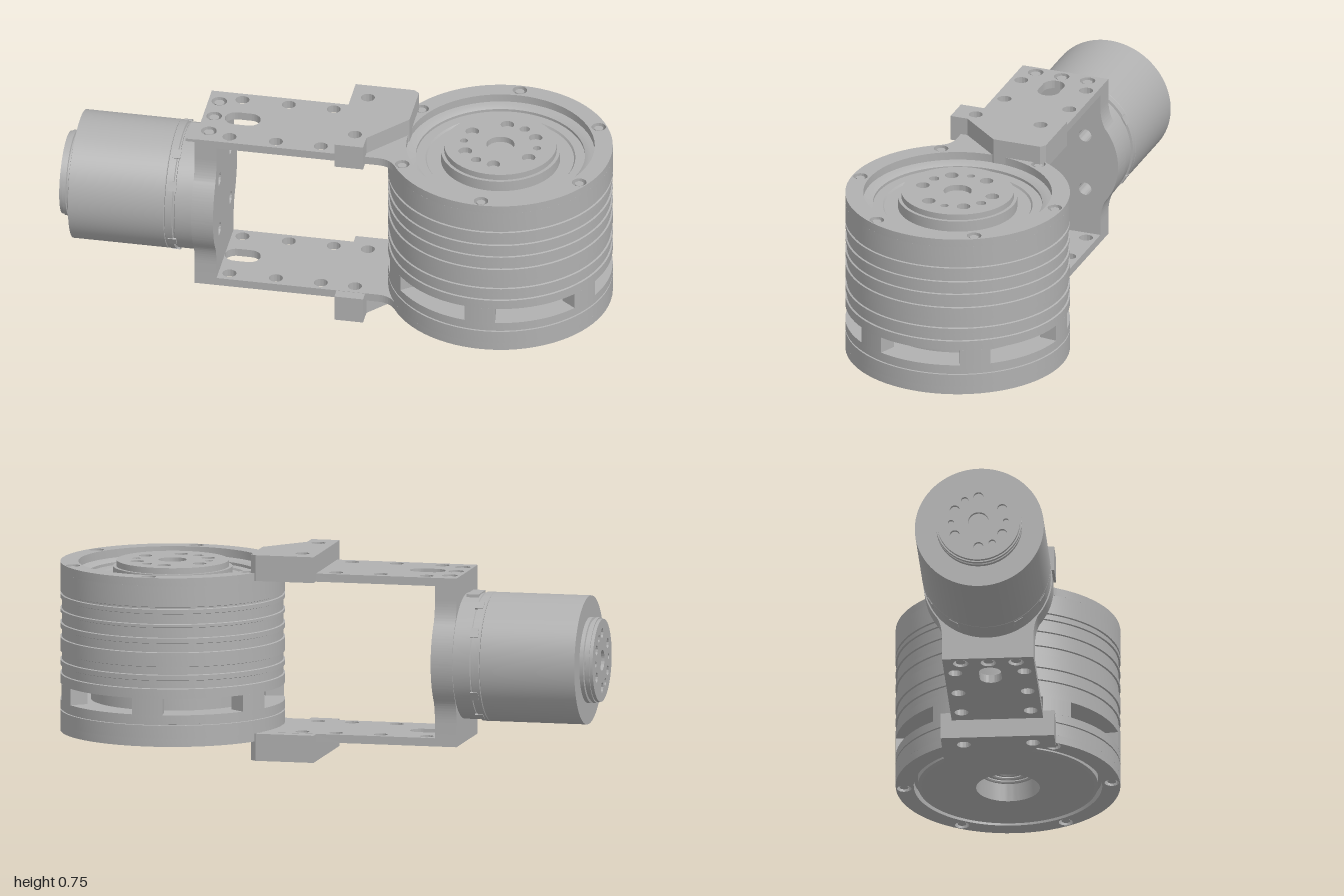
import * as THREE from 'three';
import { toCreasedNormals } from 'three/addons/utils/BufferGeometryUtils.js';

const CX = 0.59;      // axis of the large actuator
const MY = 0.38;      // axis height of the small motor
const metal = new THREE.MeshStandardMaterial({ color: 0xb0b0b0 });
metal.name = 'grey metal';

const V = (x, y) => new THREE.Vector2(x, y);
const rad = THREE.MathUtils.degToRad;

function part(name, geometry, parent) {
  const mesh = new THREE.Mesh(toCreasedNormals(geometry, 0.5), metal);
  mesh.name = name;
  parent.add(mesh);
  return mesh;
}
const lathe = (pts) => new THREE.LatheGeometry(pts.map((p) => V(p[0], p[1])), 96);

function circle(x, y, r, target = new THREE.Path()) {
  target.absarc(x, y, r, 0, Math.PI * 2, false);
  return target;
}
// evenly spaced round holes on a pitch circle
function ringHoles(shape, cx, cy, pitch, r, count, startDeg) {
  for (let i = 0; i < count; i++) {
    const a = rad(startDeg + (i * 360) / count);
    shape.holes.push(circle(cx + pitch * Math.cos(a), cy + pitch * Math.sin(a), r));
  }
}
const extrude = (shape, depth) =>
  new THREE.ExtrudeGeometry(shape, { depth, bevelEnabled: false, curveSegments: 32 });
// plan shape (x, -z) raised from y0 to y1
const slab = (shape, y0, y1) => extrude(shape, y1 - y0).rotateX(-Math.PI / 2).translate(0, y0, 0);
// cross shape (-z, y) pushed from x0 to x1
const wall = (shape, x0, x1) => extrude(shape, x1 - x0).rotateY(Math.PI / 2).translate(x0, 0, 0);

// round cap with centre bore, bolt circle and pin holes
function capShape(cx, cy, r) {
  const s = circle(cx, cy, r, new THREE.Shape());
  s.holes.push(circle(cx, cy, r * 0.25));
  ringHoles(s, cx, cy, r * 0.66, r * 0.12, 6, 30);
  ringHoles(s, cx, cy, r * 0.66, r * 0.07, 2, 0);
  ringHoles(s, cx, cy, r * 0.66, r * 0.09, 2, 60);
  return s;
}

// bracket arm ending in a ring round the actuator
function armShape() {
  const w = 0.165, R = 0.405, s = new THREE.Shape();
  s.moveTo(-0.5, -w);
  s.lineTo(0.17, -w);
  s.quadraticCurveTo(0.215, -w, CX + R * Math.cos(rad(210)), R * Math.sin(rad(210)));
  s.absarc(CX, 0, R, rad(210), rad(510), false);
  s.quadraticCurveTo(0.215, w, 0.17, w);
  s.lineTo(-0.5, w);
  s.closePath();
  s.holes.push(circle(CX, 0, 0.34));
  ringHoles(s, CX, 0, 0.375, 0.026, 6, 30);
  for (const y of [-0.125, 0.125])
    for (const x of [-0.38, -0.21, -0.045, 0.08]) s.holes.push(circle(x, y, 0.025));
  for (const y of [-0.1, 0, 0.1]) s.holes.push(circle(-0.46, y, 0.028));
  const slot = new THREE.Path();
  slot.absarc(-0.38, 0, 0.04, rad(90), rad(270), false);
  slot.absarc(-0.33, 0, 0.04, rad(-90), rad(90), false);
  slot.closePath();
  s.holes.push(slot);
  return s;
}

function stopBlockShape() {
  const s = new THREE.Shape([
    V(0.02, 0.205), V(0.02, -0.205), V(0.125, -0.205), V(0.125, -0.14),
    V(0.255, 0.01), V(0.255, 0.19), V(0.235, 0.205),
  ]);
  for (const y of [-0.125, 0.125]) s.holes.push(circle(0.08, y, 0.025));
  return s;
}

// round flange widening to the arm width above and below
function endPlateShape() {
  const w = 0.165, R = 0.233, a = rad(38), s = new THREE.Shape();
  const cx = R * Math.cos(a), cy = R * Math.sin(a);
  s.moveTo(-w, 0.1);
  s.lineTo(w, 0.1);
  s.lineTo(w, 0.15);
  s.quadraticCurveTo(w, 0.205, cx, MY - cy);
  s.absarc(0, MY, R, -a, a, false);
  s.quadraticCurveTo(w, 0.555, w, 0.605);
  s.lineTo(w, 0.655);
  s.lineTo(-w, 0.655);
  s.lineTo(-w, 0.605);
  s.quadraticCurveTo(-w, 0.555, -cx, MY + cy);
  s.absarc(0, MY, R, Math.PI - a, Math.PI + a, false);
  s.quadraticCurveTo(-w, 0.205, -w, 0.15);
  s.closePath();
  ringHoles(s, 0, MY, 0.15, 0.024, 4, 45);
  return s;
}

function buildActuator(parent) {
  const g = new THREE.Group();
  g.name = 'largeActuator';
  parent.add(g);

  // housing profile: bottom bore, window gap, cooling ribs, top recess
  const R = 0.405, r = 0.399;
  const profile = [
    [0, 0.16], [0.06, 0.155], [0.11, 0.13], [0.115, 0.062], [0.3, 0.062], [0.325, 0.072],
    [0.325, 0.1], [R, 0.1], [R, 0.147], [r, 0.148], [r, 0.152], [R, 0.153],
    [R, 0.185], [0.295, 0.185], [0.295, 0.245], [R, 0.245],
  ];
  const grooves = [[0.28, 0.312], [0.33, 0.362], [0.412, 0.447], [0.465, 0.505], [0.515, 0.555], [0.57, 0.58]];
  for (const [y0, y1] of grooves)
    profile.push([R, y0], [r, y0 + 0.002], [r, y1 - 0.002], [R, y1]);
  profile.push([R, 0.655], [0.325, 0.655], [0.305, 0.645], [0.305, 0.635], [0.27, 0.635], [0.265, 0.628], [0, 0.628]);
  part('housing', lathe(profile), g).position.x = CX;

  // posts between the side windows, with bolts above and below
  for (let i = 0; i < 6; i++) {
    const mid = 30 + i * 60, a0 = rad(mid - 8), a1 = rad(mid + 8);
    const s = new THREE.Shape();
    s.absarc(CX, 0, R, a0, a1, false);
    s.absarc(CX, 0, 0.338, a1, a0, true);
    s.closePath();
    part('windowPost', slab(s, 0.185, 0.245), g);
    for (const y of [0.085, 0.67]) {
      const bolt = part('ringBolt', new THREE.CylinderGeometry(0.016, 0.016, 0.02, 16), g);
      bolt.position.set(CX + 0.375 * Math.cos(rad(mid)), y, 0.375 * Math.sin(rad(mid)));
    }
  }

  // output hub
  part('outputHub', slab(circle(CX, 0, 0.215, new THREE.Shape()), 0.628, 0.668), g);
  part('outputHubCap', slab(capShape(CX, 0, 0.203), 0.668, 0.69), g);

  // rings of the vent in the bottom bore
  for (const rr of [0.04, 0.07, 0.1]) {
    const ring = part('ventRing', new THREE.TorusGeometry(rr, 0.006, 6, 40).rotateX(Math.PI / 2), g);
    ring.position.set(CX, 0.13, 0);
  }
}

function buildMotor(parent) {
  const g = new THREE.Group();
  g.name = 'smallMotor';
  parent.add(g);
  // profile runs from the bracket towards -x
  const body = lathe([
    [0, 0.5], [0.228, 0.5], [0.228, 0.563], [0.224, 0.565], [0.224, 0.57], [0.233, 0.572],
    [0.233, 0.598], [0.23, 0.6], [0.233, 0.602], [0.233, 0.952], [0.155, 0.952], [0.155, 0.966],
    [0.146, 0.968], [0.146, 0.974], [0.155, 0.976], [0.155, 0.988], [0, 0.988],
  ]).rotateZ(Math.PI / 2);
  part('motorBody', body, g).position.y = MY;
  part('motorOutputCap', wall(capShape(0, MY, 0.15), -1, -0.988), g);

  // small sockets round the rear of the motor
  for (const deg of [30, 60, 120, 150, 210, 240, 300, 330]) {
    const socket = part('socket', new THREE.BoxGeometry(0.03, 0.006, 0.035), g);
    const a = rad(deg);
    socket.position.set(-0.575, MY + 0.232 * Math.sin(a), 0.232 * Math.cos(a));
    socket.rotation.x = Math.PI / 2 - a;
  }
  const plug = part('connector', new THREE.BoxGeometry(0.045, 0.02, 0.11), g);
  plug.position.set(-0.533, MY + 0.222, 0);
}

function buildBracket(parent) {
  const g = new THREE.Group();
  g.name = 'bracket';
  parent.add(g);
  part('topArm', slab(armShape(), 0.655, 0.685), g);
  part('bottomArm', slab(armShape(), 0.07, 0.1), g);
  part('topStopBlock', slab(stopBlockShape(), 0.656, 0.75), g);
  part('bottomStopBlock', slab(stopBlockShape(), 0, 0.099), g);
  part('endPlate', wall(endPlateShape(), -0.5, -0.42), g);
  // arm fixing bolts
  for (const y of [0.085, 0.67])
    for (const z of [-0.1, 0, 0.1]) {
      const bolt = part('armBolt', new THREE.CylinderGeometry(0.018, 0.018, 0.02, 16), g);
      bolt.position.set(-0.46, y, z);
    }
}

export function createModel() {
  const model = new THREE.Group();
  model.name = 'actuatorJoint';
  buildActuator(model);
  buildMotor(model);
  buildBracket(model);
  return model;
}
